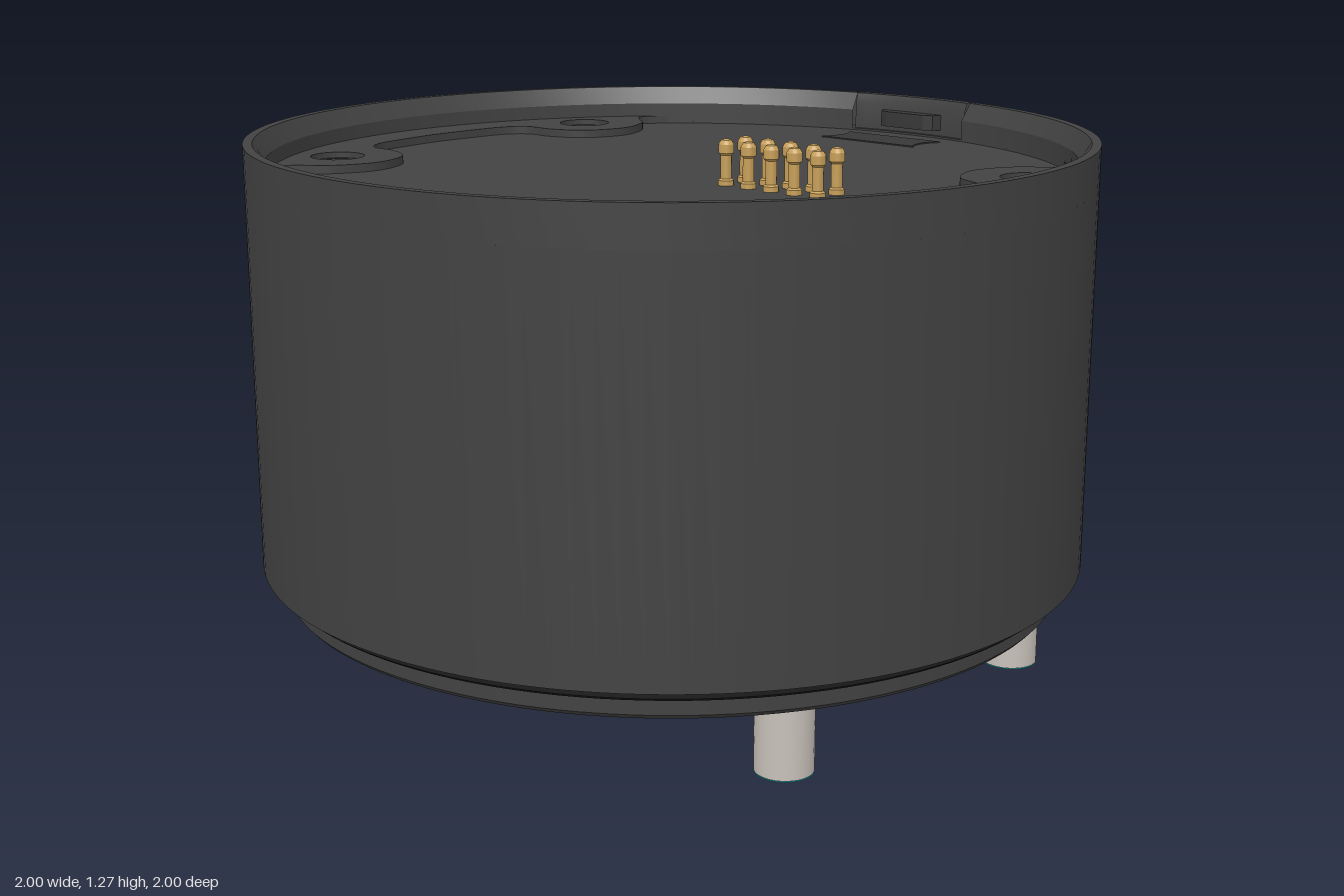
import * as THREE from 'three';
import { toCreasedNormals } from 'three/addons/utils/BufferGeometryUtils.js';

const mat = (color) => new THREE.MeshStandardMaterial({ color, side: THREE.DoubleSide });
const V = (x, y) => new THREE.Vector2(x, y);

export function createModel() {
  const model = new THREE.Group();
  const shell = mat(0x424242), dark = mat(0x1c1c1c), black = mat(0x020202), recess = mat(0x383838);
  const metal = mat(0xc8c1ba), gold = mat(0xc8a05a), cyan = mat(0x00d8d8), navy = mat(0x203a90);
  const orange = mat(0xffa500), light = mat(0xcccccc);

  const add = (name, geo, material, x = 0, y = 0, z = 0) => {
    const mesh = new THREE.Mesh(geo, material);
    mesh.name = name;
    mesh.position.set(x, y, z);
    model.add(mesh);
    return mesh;
  };
  const lathe = (pts, seg = 128, start = 0, len = Math.PI * 2) =>
    toCreasedNormals(new THREE.LatheGeometry(pts.map((p) => V(...p)), seg, start, len), 0.5);
  const rod = (r, h, seg = 32) => new THREE.CylinderGeometry(r, r, h, seg);

  // Main drum with the shallow sunken top floor
  const FLOOR = 1.165, PAD = 1.185, WALL = 1.17, BOARD = 0.27;
  add('drumBody', lathe([[0.94, 0.254], [1, 0.254], [1, WALL], [0.95, WALL], [0.95, FLOOR], [0, FLOOR]]), shell);

  // Rim, cut by two slits that free a flexible latch tab on the +x side
  const half = 0.191, slit = 0.003;
  add('rim', lathe([[1, WALL], [1, 1.264], [0.978, 1.264], [0.95, 1.22], [0.95, WALL]], 120,
    Math.PI / 2 + half, Math.PI * 2 - half * 2), shell);
  add('latchTab', lathe([[1, WALL], [1, 1.264], [0.972, 1.264], [0.962, 1.24], [0.962, WALL]], 12,
    Math.PI / 2 - half + slit, 2 * (half - slit)), shell);
  add('latchMark', new THREE.SphereGeometry(1, 16, 8), dark, 0.997, 1.176, 0).scale.set(0.005, 0.007, 0.04);

  // Tapered catch on the inside of the tab
  const clip = new THREE.Shape([V(0.965, -0.1), V(0.935, -0.085), V(0.925, -0.06), V(0.925, 0.06), V(0.935, 0.085), V(0.965, 0.1)]);
  add('latchCatch', new THREE.ExtrudeGeometry(clip, { depth: 0.04, bevelEnabled: false }).rotateX(-Math.PI / 2),
    recess, 0, 1.185, 0);

  // Dark patch on the floor below the latch, with hollow ends
  const patch = new THREE.Shape();
  patch.moveTo(0.76, -0.15);
  patch.quadraticCurveTo(0.82, -0.11, 0.88, -0.15);
  patch.lineTo(0.88, 0.15);
  patch.quadraticCurveTo(0.82, 0.11, 0.76, 0.15);
  add('latchPatch', new THREE.ExtrudeGeometry(patch, { depth: 0.003, bevelEnabled: false }).rotateX(-Math.PI / 2),
    recess, 0, FLOOR, 0);

  // Raised screw pads: right half of the inner outline, mirrored, closed by the wall arc
  const padGeo = (inner, holes) => {
    const right = inner.map((p) => V(...p));
    const left = right.slice(0, -1).reverse().map((p) => V(-p.x, p.y));
    const curve = new THREE.SplineCurve([...right, ...left]);
    const a = Math.atan2(inner[0][1], inner[0][0]);
    const s = new THREE.Shape(curve.getPoints(140));
    s.absarc(0, 0, 0.951, Math.PI - a, a, true);
    holes.forEach(([x, y, r]) => {
      const h = new THREE.Path();
      h.absarc(x, y, r, 0, Math.PI * 2, true);
      s.holes.push(h);
    });
    const g = new THREE.ExtrudeGeometry(s, { depth: PAD - FLOOR, bevelEnabled: false, curveSegments: 32 });
    return toCreasedNormals(g.rotateX(-Math.PI / 2), 0.5);
  };
  const lobe = [[0.695, 0.648], [0.63, 0.69], [0.59, 0.665], [0.54, 0.605], [0.43, 0.565], [0.32, 0.605], [0.275, 0.69], [0.27, 0.77]];
  const screwHoles = [[-0.43, 0.72, 0.066], [0.43, 0.72, 0.066]];
  add('backPads', padGeo([...lobe, [0.22, 0.815], [0.12, 0.832], [0, 0.84]], screwHoles), shell, 0, FLOOR, 0);
  add('frontPads', padGeo([...lobe, [0.235, 0.81], [0.18, 0.81], [0.14, 0.765], [0.09, 0.7], [0, 0.67]],
    [...screwHoles, [0, 0.81, 0.055]]), shell, 0, FLOOR, 0).rotation.y = Math.PI;

  // Legs below and the screw seats above them
  for (const x of [-0.43, 0.43]) for (const z of [-0.72, 0.72]) {
    add('leg', rod(0.066, 0.25), metal, x, 0.127, z);
    add('legFoot', new THREE.CircleGeometry(0.066, 32).rotateX(Math.PI / 2), cyan, x, 0, z);
    add('screwSeat', new THREE.RingGeometry(0.05, 0.066, 32).rotateX(-Math.PI / 2), recess, x, FLOOR + 0.006, z);
  }
  add('locatingPin', rod(0.052, 0.1), metal, 0, 0.187, 0.81);
  add('locatingHoleFloor', new THREE.CircleGeometry(0.054, 32).rotateX(-Math.PI / 2), recess, 0, FLOOR + 0.004, 0.81);

  // Sealing ring and the open base ring under the drum
  add('sealRing', lathe([[0.93, 0.226], [0.965, 0.226], [0.975, 0.234], [0.975, 0.246], [0.965, 0.254], [0.93, 0.254]]), dark);
  add('baseRing', lathe([[0.9, BOARD], [0.9, 0.25], [0.69, 0.25], [0.69, 0.174], [0.935, 0.174], [0.945, 0.185], [0.945, 0.23]]), shell);

  // Circuit board seen through the base opening
  add('circuitBoard', rod(0.92, 0.02, 96), black, 0, BOARD + 0.01, 0);
  for (const [deg, r] of [[19, 0.59], [133, 0.65], [287, 0.6]]) {
    const a = deg * Math.PI / 180;
    add('boardScrew', rod(0.038, 0.03, 24), light, r * Math.cos(a), BOARD - 0.015, r * Math.sin(a));
  }

  // Spring pins through the floor, with their socket blocks under the board
  const pin = lathe([[0.018, FLOOR], [0.018, FLOOR + 0.012], [0.013, FLOOR + 0.016], [0.013, 1.235],
    [0.018, 1.24], [0.018, 1.26], [0.012, 1.27], [0, 1.273]], 16);
  for (let row = 0; row < 5; row++) for (const x of [-0.034, 0.034]) {
    const z = 0.2 + row * 0.0675;
    add('springPin', pin, gold, x, 0, z);
    add('socketBlock', new THREE.BoxGeometry(0.062, 0.07, 0.062), shell, x, BOARD - 0.035, z);
    add('socketContact', rod(0.018, 0.01, 16), gold, x, 0.198, z);
  }

  // Flat board connector: two rails around a blue slot
  add('connectorSlot', new THREE.BoxGeometry(0.39, 0.02, 0.06), navy, -0.04, 0.26, -0.34);
  for (const s of [-1, 1]) {
    add('connectorRail', new THREE.BoxGeometry(0.4, 0.035, 0.045), cyan, -0.04, 0.2525, -0.34 + s * 0.052);
  }

  // Flexible orange tab with rounded corners and an upturned edge
  const tab = new THREE.Shape();
  const x0 = 0.12, x1 = 0.365, z0 = -0.16, z1 = 0.06, c = 0.03;
  tab.moveTo(x0, z0);
  tab.lineTo(x1 - c, z0);
  tab.quadraticCurveTo(x1, z0, x1, z0 + c);
  tab.lineTo(x1, z1 - c);
  tab.quadraticCurveTo(x1, z1, x1 - c, z1);
  tab.lineTo(x0, z1);
  add('flexTab', new THREE.ExtrudeGeometry(tab, { depth: 0.012, bevelEnabled: false }).rotateX(-Math.PI / 2), orange, 0, 0.16, 0);
  add('flexTabRiser', new THREE.BoxGeometry(0.012, 0.1, 0.06), orange, 0.114, 0.215, -0.03);

  // Round light windows around the lower wall
  for (const deg of [49.7, 42.1, 34.7, 27.3, 2.7, -3.3]) {
    const a = deg * Math.PI / 180;
    const w = add('lightWindow', rod(0.028, 0.02, 24).rotateZ(Math.PI / 2), light, 0.991 * Math.cos(a), 0.295, 0.991 * Math.sin(a));
    w.rotation.y = -a;
  }
  return model;
}
